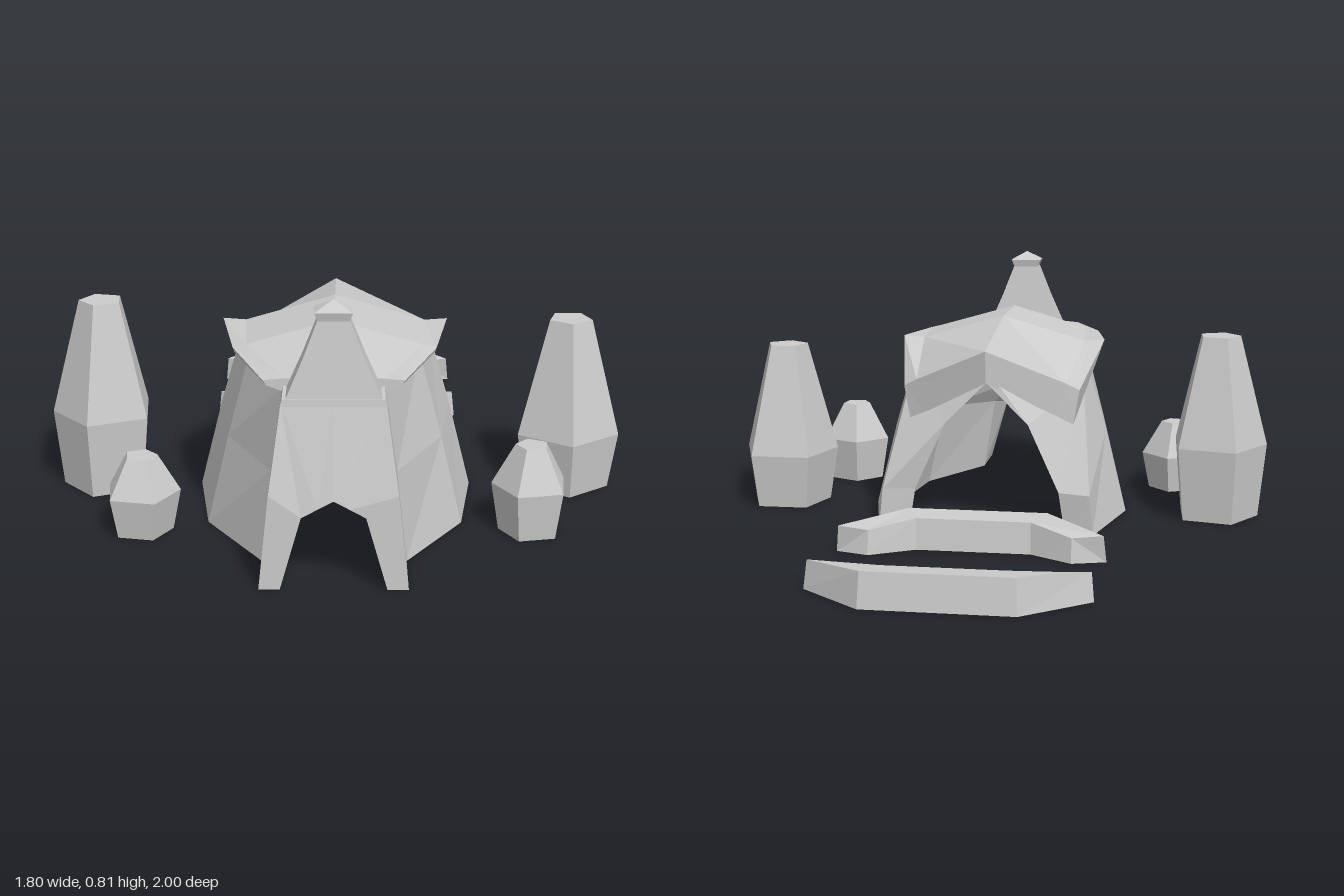
import * as THREE from 'three';

const material = new THREE.MeshStandardMaterial({ color: 0xcccccc, flatShading: true });

// Collects triangles from quads and fans
function builder() {
  const pos = [];
  const tri = (a, b, c) => pos.push(...a, ...b, ...c);
  return {
    tri,
    quad(a, b, c, d) { tri(a, b, c); tri(a, c, d); },
    mesh(name) {
      const g = new THREE.BufferGeometry();
      g.setAttribute('position', new THREE.Float32BufferAttribute(pos, 3));
      g.computeVertexNormals();
      const m = new THREE.Mesh(g, material);
      m.name = name;
      return m;
    },
  };
}

// Joins closed rings of equal length with quads
function joinRings(b, rings) {
  for (let j = 0; j + 1 < rings.length; j++) {
    const r = rings[j], s = rings[j + 1], n = r.length;
    for (let i = 0; i < n; i++) {
      const k = (i + 1) % n;
      b.quad(r[i], s[i], s[k], r[k]);
    }
  }
}

// Solid through rings, with flat end caps
function solid(name, rings) {
  const b = builder();
  joinRings(b, rings);
  const first = rings[0], last = rings[rings.length - 1];
  for (let i = 1; i + 1 < first.length; i++) {
    b.tri(first[0], first[i], first[i + 1]);
    b.tri(last[0], last[i + 1], last[i]);
  }
  return b.mesh(name);
}

// Thick arched shell: each station has an outer and an inner half chain, from +x edge to centre
function shell(name, stations) {
  const b = builder();
  const whole = (half) => [...half, ...half.slice(0, -1).reverse().map(([x, y, z]) => [-x, y, z])];
  const chains = stations.map(([outer, inner]) => [whole(outer), whole(inner)]);
  joinRings(b, chains.map(([o, i]) => [...o, ...[...i].reverse()]));
  const [fo, fi] = chains[0], [bo, bi] = chains[chains.length - 1];
  for (let k = 0; k + 1 < fo.length; k++) {
    b.quad(fo[k], fo[k + 1], fi[k + 1], fi[k]);
    b.quad(bo[k], bi[k], bi[k + 1], bo[k + 1]);
  }
  return b.mesh(name);
}

// Stacked polygon layers: [y, radius x, radius z]
function tiers(name, sides, angle, layers) {
  return solid(name, layers.map(([y, rx, rz = rx]) =>
    Array.from({ length: sides }, (_, i) => {
      const a = angle + (i / sides) * Math.PI * 2;
      return [Math.cos(a) * rx, y, Math.sin(a) * rz];
    })));
}

export function createModel() {
  const model = new THREE.Group();
  model.name = 'shelter';
  const at = (z, pts) => pts.map(([x, y]) => [x, y, z]);

  // Walls: narrow doorway at the front, wide arch with raked ends at the back
  model.add(shell('walls', [
    [[[0.21, 0, 1], [0.18, 0.28, 1], [0.145, 0.53, 0.94], [0, 0.53, 0.94]],
      at(1, [[0.15, 0], [0.09, 0.215], [0.045, 0.24], [0, 0.265]])],
    [at(0.81, [[0.21, 0], [0.18, 0.28], [0.145, 0.53], [0, 0.53]]),
      at(0.81, [[0.15, 0], [0.11, 0.25], [0.06, 0.32], [0, 0.34]])],
    [at(0.53, [[0.385, 0], [0.32, 0.28], [0.25, 0.55], [0, 0.6]]),
      at(0.53, [[0.31, 0], [0.25, 0.28], [0.18, 0.45], [0, 0.5]])],
    [at(0.21, [[0.43, 0], [0.36, 0.28], [0.285, 0.54], [0, 0.6]]),
      at(0.21, [[0.35, 0], [0.29, 0.28], [0.22, 0.46], [0, 0.52]])],
    [[[0.35, 0, -0.135], [0.338, 0.13, -0.135], [0.29, 0.46, 0.12], [0, 0.53, -0.1]],
      at(-0.105, [[0.255, 0], [0.235, 0.13], [0.135, 0.35], [0, 0.485]])],
  ]));

  // Roof: upturned eaves, with a thick drooping gable at the back
  model.add(shell('roof', [
    [at(0.82, [[0.2, 0.555], [0.14, 0.56], [0, 0.56]]),
      at(0.82, [[0.19, 0.54], [0.14, 0.52], [0, 0.52]])],
    [at(0.55, [[0.3, 0.565], [0.26, 0.575], [0, 0.65]]),
      at(0.55, [[0.295, 0.55], [0.225, 0.515], [0, 0.59]])],
    [at(0.28, [[0.345, 0.575], [0.275, 0.57], [0, 0.65]]),
      at(0.28, [[0.338, 0.555], [0.25, 0.515], [0, 0.59]])],
    [[[0.29, 0.45, 0], [0.245, 0.475, -0.02], [0, 0.59, -0.13]],
      [[0.27, 0.335, 0], [0.22, 0.365, -0.02], [0, 0.485, -0.12]]],
  ]));

  // Spire over the doorway, with its ledge and pointed cap
  const q = Math.SQRT2;
  const spire = new THREE.Group();
  spire.name = 'spire';
  spire.position.z = 0.885;
  spire.add(
    tiers('spireLedge', 4, Math.PI / 4, [[0.52, 0.148 * q, 0.06 * q], [0.54, 0.142 * q, 0.058 * q]]),
    tiers('spireBody', 4, Math.PI / 4, [[0.54, 0.132 * q, 0.055 * q], [0.65, 0.085 * q, 0.042 * q], [0.76, 0.043 * q, 0.03 * q]]),
    tiers('spireCap', 4, Math.PI / 4, [[0.755, 0.043 * q, 0.032 * q], [0.78, 0.053 * q, 0.038 * q], [0.81, 0, 0]]),
  );
  model.add(spire);

  // Five-sided shrubs: x, z, angle, base, widest and top radius, widest height, height
  const shrubs = [
    [-0.733, 0.2, 175, 0.14, 0.165, 0.07, 0.245, 0.61],
    [0.738, 0.193, 89, 0.14, 0.168, 0.07, 0.18, 0.55],
    [-0.578, 0.587, -79, 0.092, 0.117, 0.05, 0.125, 0.24],
    [0.588, 0.585, 187, 0.095, 0.119, 0.05, 0.148, 0.275],
  ];
  for (const [x, z, deg, r0, r1, r2, y1, y2] of shrubs) {
    const shrub = tiers('shrub', 5, THREE.MathUtils.degToRad(deg), [[0, r0], [y1, r1], [y2, r2]]);
    shrub.position.set(x, 0, z);
    model.add(shrub);
  }

  // Pair of bent kerbs behind the shelter, bowed away from each other
  // Each section: outer x, outer z, inner x, inner z, height
  const half = [[0.42, -0.43, 0.315, -0.463, 0.085], [0.225, -0.265, 0.18, -0.38, 0.107]];
  const sections = [
    ...half.map(([a, b, c, d, h]) => [-a, b, -c, d, h]),
    ...[...half].reverse(),
  ];
  const rings = sections.map(([ox, oz, ix, iz, h]) => [
    [ox, 0, oz], [ox * 0.98, h, oz - 0.012], [ix, h - 0.008, iz + 0.01], [ix, 0, iz],
  ]);
  const nearKerb = solid('nearKerb', rings);
  const farKerb = nearKerb.clone();
  farKerb.name = 'farKerb';
  farKerb.rotation.y = Math.PI;
  farKerb.position.z = -1.265;
  model.add(nearKerb, farKerb);

  return model;
}
